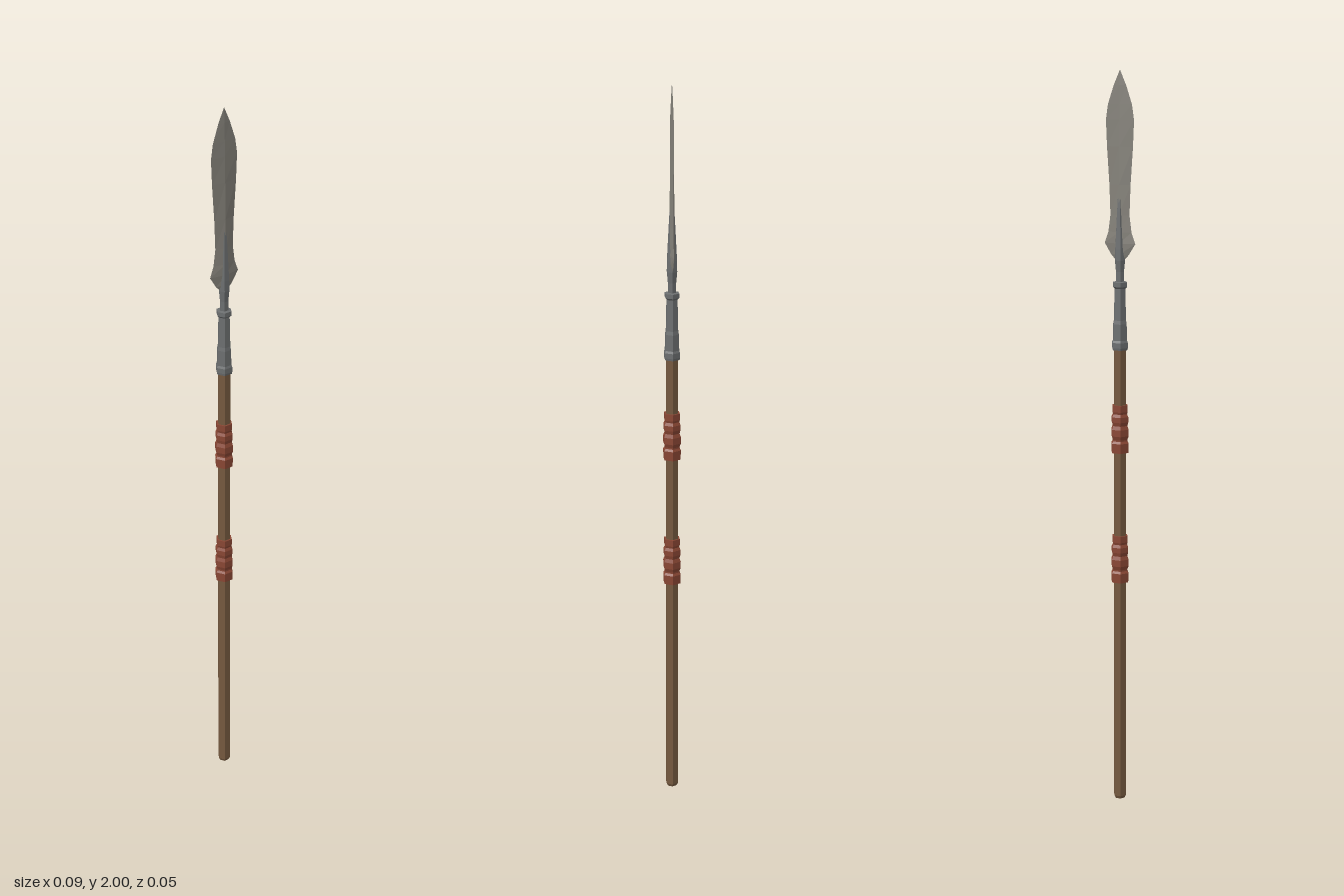
import * as THREE from 'three';

const material = (name, color) => {
  const m = new THREE.MeshStandardMaterial({ color, flatShading: true });
  m.name = name;
  return m;
};

// Six-sided turned part with corners on the x axis; profile is [radius, y] from the bottom up
function turned(name, profile, mat) {
  const points = profile.map(([r, y]) => new THREE.Vector2(r, y));
  const mesh = new THREE.Mesh(new THREE.LatheGeometry(points, 6, Math.PI / 2), mat);
  mesh.name = name;
  return mesh;
}

// Diamond cross-sections [y, half width, half thickness] joined into a blade
function bladeGeometry(sections) {
  const positions = [];
  const index = [];
  for (const [y, w, t] of sections) positions.push(w, y, 0, 0, y, t, -w, y, 0, 0, y, -t);
  for (let s = 0; s < sections.length - 1; s++) {
    for (let i = 0; i < 4; i++) {
      const a = s * 4 + i, b = s * 4 + (i + 1) % 4;
      index.push(a, a + 4, b, b, a + 4, b + 4);
    }
  }
  const geometry = new THREE.BufferGeometry();
  geometry.setAttribute('position', new THREE.Float32BufferAttribute(positions, 3));
  geometry.setIndex(index);
  const flat = geometry.toNonIndexed();
  flat.computeVertexNormals();
  return flat;
}

export function createModel() {
  const wood = material('wood', 0x75593f);
  const leather = material('leather', 0x8a4734);
  const iron = material('dark iron', 0x6c6f70);
  const steel = material('blade steel', 0x85827a);

  const spear = new THREE.Group();
  spear.name = 'spear';

  // Shaft with a bevelled butt
  spear.add(turned('shaft', [[0, 0], [0.014, 0], [0.018, 0.008], [0.018, 1.28], [0, 1.28]], wood));

  // Two leather grips, each wound in uneven bands
  for (const [name, y] of [['lowerGrip', 0.62], ['upperGrip', 0.98]]) {
    spear.add(turned(name, [
      [0.017, 0], [0.025, 0], [0.026, 0.026], [0.022, 0.032], [0.022, 0.036],
      [0.026, 0.046], [0.026, 0.064], [0.022, 0.074], [0.025, 0.084],
      [0.025, 0.098], [0.021, 0.106], [0.023, 0.112], [0.023, 0.13], [0.017, 0.13],
    ].map(([r, h]) => [r, h + y]), leather));
  }

  // Socket with a collar at each end
  spear.add(turned('socket', [
    [0.016, 1.26], [0.022, 1.26], [0.0235, 1.266], [0.0235, 1.28], [0.021, 1.286],
    [0.02, 1.33], [0.018, 1.34], [0.016, 1.425], [0.021, 1.43], [0.021, 1.442], [0, 1.446],
  ], iron));

  // Neck tapering into the rib of the blade
  spear.add(turned('neckAndRib', [
    [0.012, 1.44], [0.012, 1.47], [0.015, 1.5], [0.0145, 1.53], [0.009, 1.63], [0.002, 1.74], [0, 1.745],
  ], iron));

  // Leaf-shaped blade with pointed lugs at its base
  const blade = new THREE.Mesh(bladeGeometry([
    [1.5, 0.012, 0.004], [1.515, 0.026, 0.007], [1.545, 0.045, 0.008], [1.575, 0.034, 0.008],
    [1.62, 0.028, 0.007], [1.7, 0.031, 0.006], [1.8, 0.038, 0.005], [1.87, 0.041, 0.004],
    [1.91, 0.035, 0.003], [1.96, 0.018, 0.002], [2, 0, 0],
  ]), steel);
  blade.name = 'blade';
  spear.add(blade);

  return spear;
}
